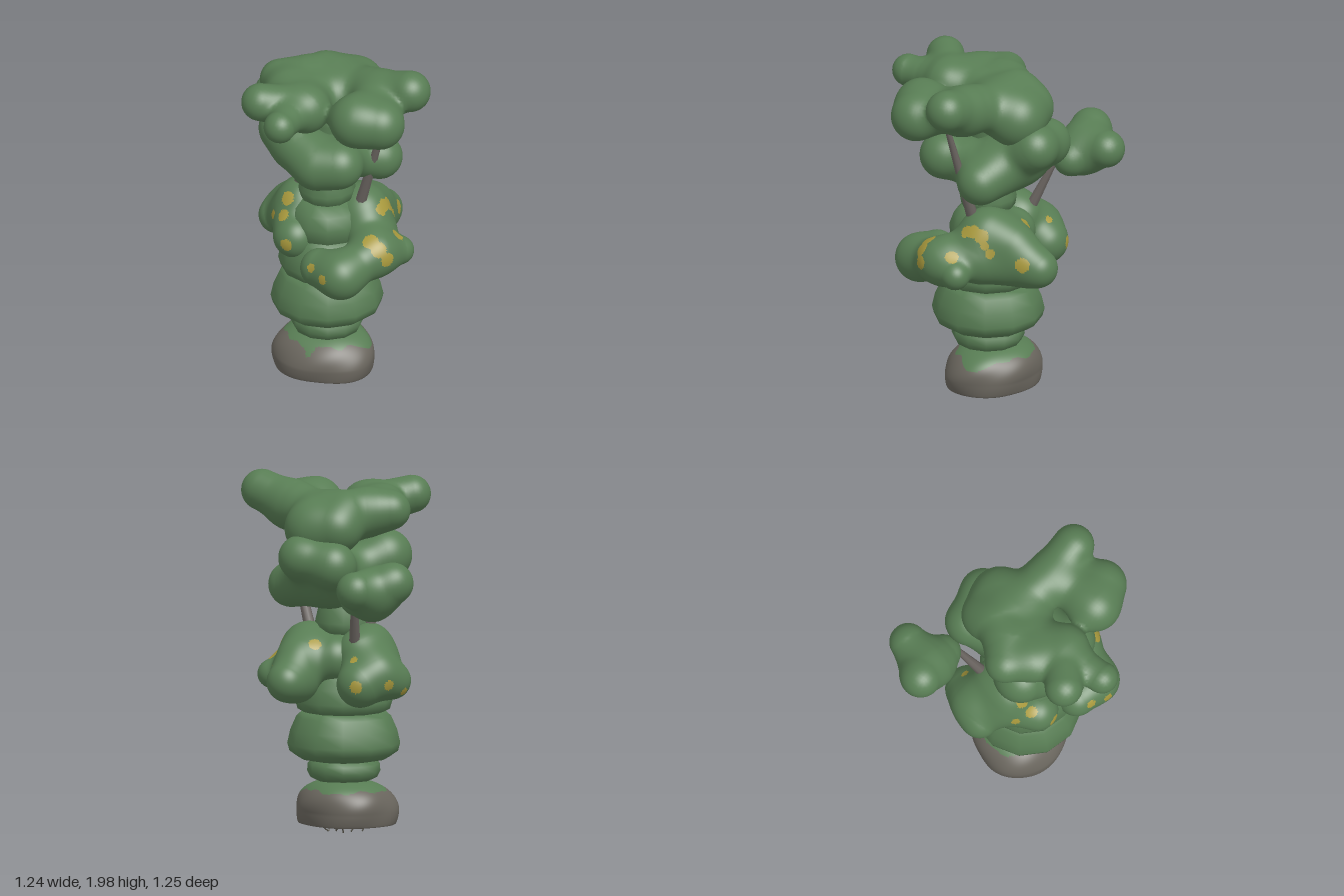
import * as THREE from 'three';

const mat = (name, color) => {
  const m = new THREE.MeshStandardMaterial({ color });
  m.name = name;
  return m;
};

// Rounded-cone distance between two points given as [x, y, z, radius]
function cone(a, b, x, y, z) {
  const dx = b[0] - a[0], dy = b[1] - a[1], dz = b[2] - a[2];
  const len = dx * dx + dy * dy + dz * dz;
  const t = Math.min(1, Math.max(0, ((x - a[0]) * dx + (y - a[1]) * dy + (z - a[2]) * dz) / len));
  return Math.hypot(x - a[0] - t * dx, y - a[1] - t * dy, z - a[2] - t * dz) - a[3] - t * (b[3] - a[3]);
}

// Smoothly blended field of several limb chains
function makeField(chains, k = 0.07) {
  const limbs = chains.flatMap(c => c.slice(1).map((p, i) => [c[i], p]));
  return (x, y, z) => limbs.reduce((d, [a, b]) => {
    const e = cone(a, b, x, y, z), h = Math.max(0, k - Math.abs(d - e)) / k;
    return Math.min(d, e) - h * h * k / 4;
  }, 9);
}

function gradient(f, x, y, z, e = 0.004) {
  return new THREE.Vector3(f(x + e, y, z) - f(x - e, y, z), f(x, y + e, z) - f(x, y - e, z),
    f(x, y, z + e) - f(x, y, z - e)).normalize();
}

// Splits the faces of an indexed geometry into two material groups
function splitFaces(geo, isSecond) {
  const p = geo.attributes.position, idx = geo.index.array, sets = [[], []], c = new THREE.Vector3(), v = new THREE.Vector3();
  for (let i = 0; i < idx.length; i += 3) {
    const tri = [idx[i], idx[i + 1], idx[i + 2]];
    c.set(0, 0, 0);
    tri.forEach(n => c.add(v.fromBufferAttribute(p, n)));
    sets[isSecond(c.divideScalar(3)) ? 1 : 0].push(...tri);
  }
  geo.setIndex([...sets[0], ...sets[1]]);
  geo.clearGroups();
  geo.addGroup(0, sets[0].length, 0);
  geo.addGroup(sets[0].length, sets[1].length, 1);
  return geo;
}

// Skins a blended field with a smooth surface on a regular grid
function blobGeometry(chains, s) {
  const f = makeField(chains), pts = chains.flat();
  const lo = [0, 1, 2].map(i => Math.min(...pts.map(p => p[i] - p[3])) - 0.06);
  const n = [0, 1, 2].map(i => Math.ceil((Math.max(...pts.map(p => p[i] + p[3])) + 0.06 - lo[i]) / s));
  const step = [1, n[0] + 1, (n[0] + 1) * (n[1] + 1)];
  const at = (i, j, k) => i + j * step[1] + k * step[2];
  const val = new Float32Array(step[2] * (n[2] + 1)), cell = new Map();
  const each = (m, fn) => {
    for (let k = 0; k < n[2] + m; k++) for (let j = 0; j < n[1] + m; j++) for (let i = 0; i < n[0] + m; i++) fn(i, j, k);
  };
  each(1, (i, j, k) => { val[at(i, j, k)] = f(lo[0] + i * s, lo[1] + j * s, lo[2] + k * s); });
  const pos = [], nor = [], index = [];
  each(0, (i, j, k) => {
    const o = at(i, j, k);
    let inside = 0;
    for (let c = 0; c < 8; c++) if (val[o + (c & 1) + (c >> 1 & 1) * step[1] + (c >> 2) * step[2]] < 0) inside++;
    if (inside === 0 || inside === 8) return;
    const p = new THREE.Vector3(lo[0] + (i + 0.5) * s, lo[1] + (j + 0.5) * s, lo[2] + (k + 0.5) * s);
    for (let r = 0; r < 2; r++) p.addScaledVector(gradient(f, p.x, p.y, p.z), -f(p.x, p.y, p.z));
    cell.set(o, pos.length / 3);
    pos.push(p.x, p.y, p.z);
    nor.push(...gradient(f, p.x, p.y, p.z).toArray());
  });
  each(0, (i, j, k) => {
    const o = at(i, j, k);
    for (let a = 0; a < 3; a++) {
      const inA = val[o] < 0;
      if (inA === val[o + step[a]] < 0) continue;
      const u = step[(a + 1) % 3], v = step[(a + 2) % 3];
      const q = [o - u - v, o - v, o, o - u].map(c => cell.get(c));
      if (q.some(c => c === undefined)) continue;
      if (!inA) q.reverse();
      index.push(q[0], q[1], q[2], q[0], q[2], q[3]);
    }
  });
  const geo = new THREE.BufferGeometry();
  geo.setAttribute('position', new THREE.Float32BufferAttribute(pos, 3));
  geo.setAttribute('normal', new THREE.Float32BufferAttribute(nor, 3));
  geo.setIndex(index);
  return geo;
}

export function createModel() {
  const model = new THREE.Group();
  const leaf = mat('leaf green', 0x587d54), stone = mat('stone grey', 0x69655d);
  const bark = mat('bark grey', 0x6b6561), lichen = mat('lichen yellow', 0xa8993d), root = mat('root brown', 0x524f45);
  const add = (name, geo, material) => {
    const m = new THREE.Mesh(geo, material);
    m.name = name;
    model.add(m);
    return m;
  };

  // Stone foot with a moss cap
  const foot = new THREE.SphereGeometry(1, 96, 72), fp = foot.attributes.position;
  for (let i = 0; i < fp.count; i++) {
    const x = fp.getX(i), y = fp.getY(i), z = fp.getZ(i), a = Math.atan2(z, x);
    const wob = 1 + 0.03 * Math.sin(3 * a + 1) + 0.015 * Math.sin(5 * a + 4 * y);
    const r = Math.hypot(x, z) || 1e-6, w = Math.pow(r, 0.75) / r * wob;
    fp.setXYZ(i, -0.02 + x * w * 0.292, Math.max(0.058, 0.13 + y * (y > 0 ? 0.175 : 0.22)), -0.01 + z * w * 0.257 - 0.03 * Math.max(0, y));
  }
  foot.computeVertexNormals();
  splitFaces(foot, c => {
    const a = Math.atan2(c.x, c.z);
    return c.y > 0.25 + 0.006 * Math.sin(5 * a) + 0.005 * Math.sin(11 * a + 1)
      - 0.055 * Math.exp(-60 * a * a) - 0.05 * Math.exp(-14 * (a - 1.75) ** 2);
  });
  add('stoneFoot', foot, [stone, leaf]);

  // Thin roots under the foot
  for (let i = 0; i < 12; i++) {
    const a = i * 2.4, r = 0.035 + 0.009 * i;
    const m = add('root', new THREE.CylinderGeometry(0.005, 0.004, 0.055, 5), root);
    m.position.set(-0.03 + r * Math.cos(a), 0.043, -0.06 + r * Math.sin(a));
    m.rotation.set(0.7 * Math.sin(i * 1.7), 0, 0.7 * Math.cos(i * 2.9));
  }

  // Stacked stem segments, profiles as [radius, height]
  const stem = {
    stemCollar: [[0, 0.28], [0.14, 0.29], [0.185, 0.31], [0.202, 0.345], [0.2, 0.385], [0.17, 0.42], [0, 0.44]],
    stemBell: [[0, 0.405], [0.17, 0.405], [0.25, 0.42], [0.3, 0.455], [0.312, 0.5], [0.295, 0.575], [0.262, 0.65], [0.23, 0.68], [0, 0.7]],
    stemShoulder: [[0, 0.66], [0.2, 0.67], [0.255, 0.69], [0.27, 0.74], [0.255, 0.82], [0.22, 0.9], [0.17, 0.95], [0, 0.97]],
    stemDome: [[0, 0.86], [0.15, 0.87], [0.21, 0.92], [0.215, 1.0], [0.19, 1.07], [0.14, 1.12], [0, 1.14]],
    stemNeck: [[0, 1.08], [0.11, 1.1], [0.15, 1.13], [0.158, 1.18], [0.14, 1.26], [0.115, 1.33], [0.1, 1.45], [0.11, 1.6], [0.12, 1.74], [0, 1.76]],
  };
  for (const [name, profile] of Object.entries(stem)) {
    const m = add(name, new THREE.LatheGeometry(profile.map(p => new THREE.Vector2(...p)), 12), leaf);
    m.position.x = 0.005;
  }

  // Branches carrying the foliage
  const branches = [
    [[0.19, 1.08, -0.03], [0.39, 1.72, 0.02]],
    [[-0.16, 1.06, -0.16], [-0.24, 1.4, -0.3]],
    [[-0.15, 1.06, 0.0], [-0.21, 1.8, 0.06]],
  ];
  for (const [a, b] of branches) {
    const p = new THREE.Vector3(...a), q = new THREE.Vector3(...b), d = q.clone().sub(p);
    const m = add('branch', new THREE.CylinderGeometry(0.015, 0.034, d.length(), 8), bark);
    m.position.copy(p).add(q).multiplyScalar(0.5);
    m.quaternion.setFromUnitVectors(new THREE.Vector3(0, 1, 0), d.normalize());
  }

  // Foliage clumps as chains of [x, y, z, radius]
  const clumps = {
    crown: [
      [[-0.07, 1.73, -0.21, 0.145], [0.06, 1.72, -0.22, 0.15], [0.02, 1.74, -0.02, 0.14], [-0.07, 1.78, 0.1, 0.12], [0.01, 1.79, 0.25, 0.12], [-0.19, 1.85, 0.41, 0.105]],
      [[0.01, 1.8, 0.3, 0.1], [0, 1.8, 0.42, 0.065], [0, 1.8, 0.53, 0.09]],
      [[-0.08, 1.8, -0.12, 0.13], [-0.16, 1.8, 0.0, 0.12], [-0.27, 1.81, 0.05, 0.095]],
      [[-0.25, 1.81, 0.07, 0.09], [-0.16, 1.81, 0.16, 0.105], [-0.06, 1.8, 0.24, 0.1]],
      [[0.05, 1.77, -0.12, 0.14], [0.28, 1.81, -0.06, 0.12], [0.5, 1.88, -0.05, 0.115]],
      [[0.34, 1.8, -0.02, 0.12], [0.32, 1.78, 0.23, 0.135], [0.44, 1.77, 0.19, 0.14]],
    ],
    middleFoliage: [
      [[-0.2, 1.55, 0.12, 0.14], [-0.06, 1.48, 0.18, 0.12], [0.06, 1.43, 0.21, 0.13], [0.18, 1.45, 0.18, 0.12]],
      [[-0.13, 1.46, 0.13, 0.12], [0.02, 1.43, 0.12, 0.12]],
      [[0.18, 1.43, 0.18, 0.11], [0.14, 1.42, 0.0, 0.12], [0.27, 1.38, -0.12, 0.11]],
      [[0.27, 1.38, -0.12, 0.11], [0.08, 1.45, -0.16, 0.14], [0.07, 1.57, -0.35, 0.11], [-0.11, 1.54, -0.32, 0.115]],
      [[-0.18, 1.53, 0.08, 0.12], [-0.02, 1.45, -0.14, 0.15], [-0.1, 1.52, -0.3, 0.12]],
      [[0.16, 1.41, -0.16, 0.12], [-0.02, 1.43, -0.2, 0.135]],
    ],
    sideFoliage: [
      [[-0.28, 1.37, -0.35, 0.09], [-0.38, 1.39, -0.36, 0.125], [-0.51, 1.47, -0.34, 0.115]],
      [[-0.42, 1.42, -0.4, 0.125], [-0.38, 1.44, -0.525, 0.105]],
    ],
    lowerRightFoliage: [
      [[-0.34, 0.88, -0.06, 0.105], [-0.19, 0.96, -0.04, 0.13], [-0.16, 1.05, 0.0, 0.13]],
      [[-0.18, 0.96, 0.02, 0.13], [-0.11, 0.91, 0.16, 0.12]],
      [[-0.16, 1.02, -0.1, 0.13], [-0.28, 0.92, -0.14, 0.12], [-0.23, 0.87, -0.22, 0.13]],
    ],
    lowerLeftFoliage: [
      [[0.11, 0.82, 0.27, 0.11], [0.25, 0.82, 0.29, 0.12], [0.35, 0.89, 0.08, 0.115], [0.22, 0.96, -0.06, 0.13]],
      [[0.35, 0.88, 0.06, 0.11], [0.43, 0.86, -0.06, 0.08]],
      [[0.24, 0.92, -0.08, 0.13], [0.17, 1.03, -0.1, 0.13], [0.14, 0.98, -0.24, 0.12], [0.13, 0.88, -0.41, 0.11]],
      [[0.22, 0.88, -0.12, 0.12], [0.13, 0.87, -0.3, 0.12]],
      [[0.14, 1.0, -0.14, 0.13], [-0.02, 0.99, -0.14, 0.13]],
    ],
  };
  // Lichen spots, pulled onto the clump surface
  const spots = {
    lowerRightFoliage: [[-0.18, 1.11, 0.12, 0.04], [-0.05, 1.1, 0.06, 0.035], [-0.16, 0.99, 0.15, 0.035], [-0.23, 0.98, 0.1, 0.025],
      [-0.1, 0.91, 0.28, 0.036], [-0.21, 1.02, -0.27, 0.022], [-0.28, 0.87, -0.36, 0.035], [-0.41, 0.87, -0.2, 0.03], [-0.45, 0.81, -0.08, 0.025]],
    lowerLeftFoliage: [[0.1, 0.88, 0.4, 0.026], [0.2, 0.84, 0.43, 0.028], [0.36, 0.97, 0.14, 0.045], [0.4, 0.94, 0.14, 0.045], [0.44, 0.9, 0.13, 0.04],
      [0.42, 0.95, -0.03, 0.038], [0.31, 1.08, -0.06, 0.035], [0.3, 1.085, -0.1, 0.038], [0.3, 1.07, -0.15, 0.04],
      [0.3, 1.02, -0.17, 0.025], [0.29, 0.98, -0.2, 0.028], [0.24, 0.93, -0.38, 0.042], [0.04, 1.07, -0.26, 0.036]],
  };
  for (const [name, chains] of Object.entries(clumps)) {
    const geo = blobGeometry(chains, spots[name] ? 0.011 : 0.02);
    if (!spots[name]) { add(name, geo, leaf); continue; }
    const f = makeField(chains);
    const marks = spots[name].map(([x, y, z, r]) => {
      const p = new THREE.Vector3(x, y, z);
      for (let i = 0; i < 6; i++) p.addScaledVector(gradient(f, p.x, p.y, p.z), -f(p.x, p.y, p.z));
      return { p, r };
    });
    splitFaces(geo, c => marks.some(m => c.distanceTo(m.p) < m.r));
    add(name, geo, [leaf, lichen]);
  }
  return model;
}
